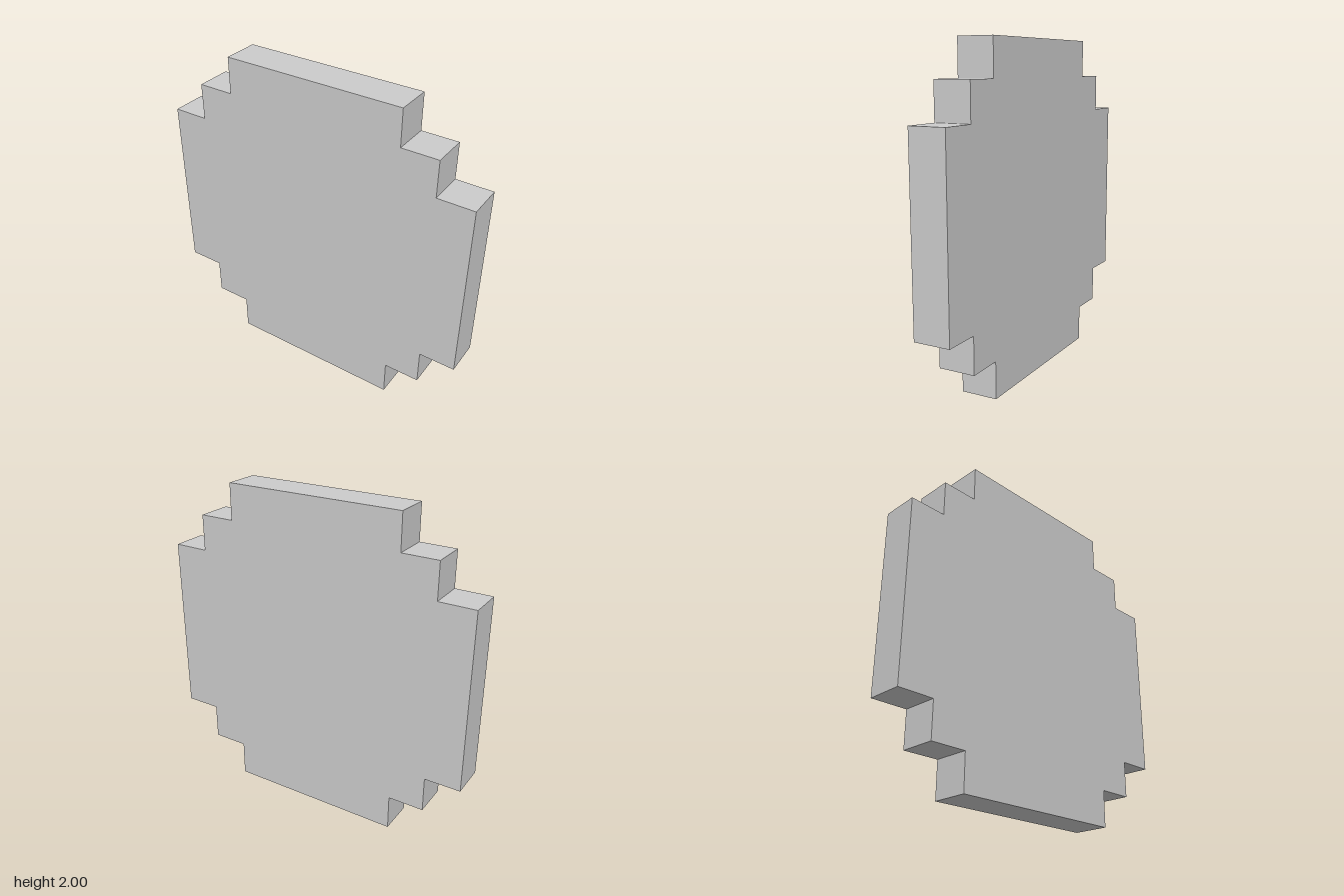
import * as THREE from 'three';

const CELL = 1 / 9; // half of one step; the disc is nine steps wide

// Stepped outline: one corner staircase, repeated by quarter turns
function steppedOutline() {
  const corner = [[9, 5], [7, 5], [7, 7], [5, 7], [5, 9]];
  const points = [];
  for (let turn = 0; turn < 4; turn++) {
    for (const [x, y] of corner) {
      const p = [[x, y], [-y, x], [-x, -y], [y, -x]][turn];
      points.push(new THREE.Vector2(p[0] * CELL, p[1] * CELL));
    }
  }
  return new THREE.Shape(points);
}

export function createModel() {
  const model = new THREE.Group();
  model.name = 'steppedDisc';

  // Flat plate, one step thick, standing on its lower edge
  const geometry = new THREE.ExtrudeGeometry(steppedOutline(), { depth: 2 * CELL, bevelEnabled: false });
  geometry.translate(0, 1, -CELL);
  const disc = new THREE.Mesh(geometry, new THREE.MeshStandardMaterial({ color: 0xcccccc }));
  disc.name = 'disc';
  model.add(disc);

  return model;
}
